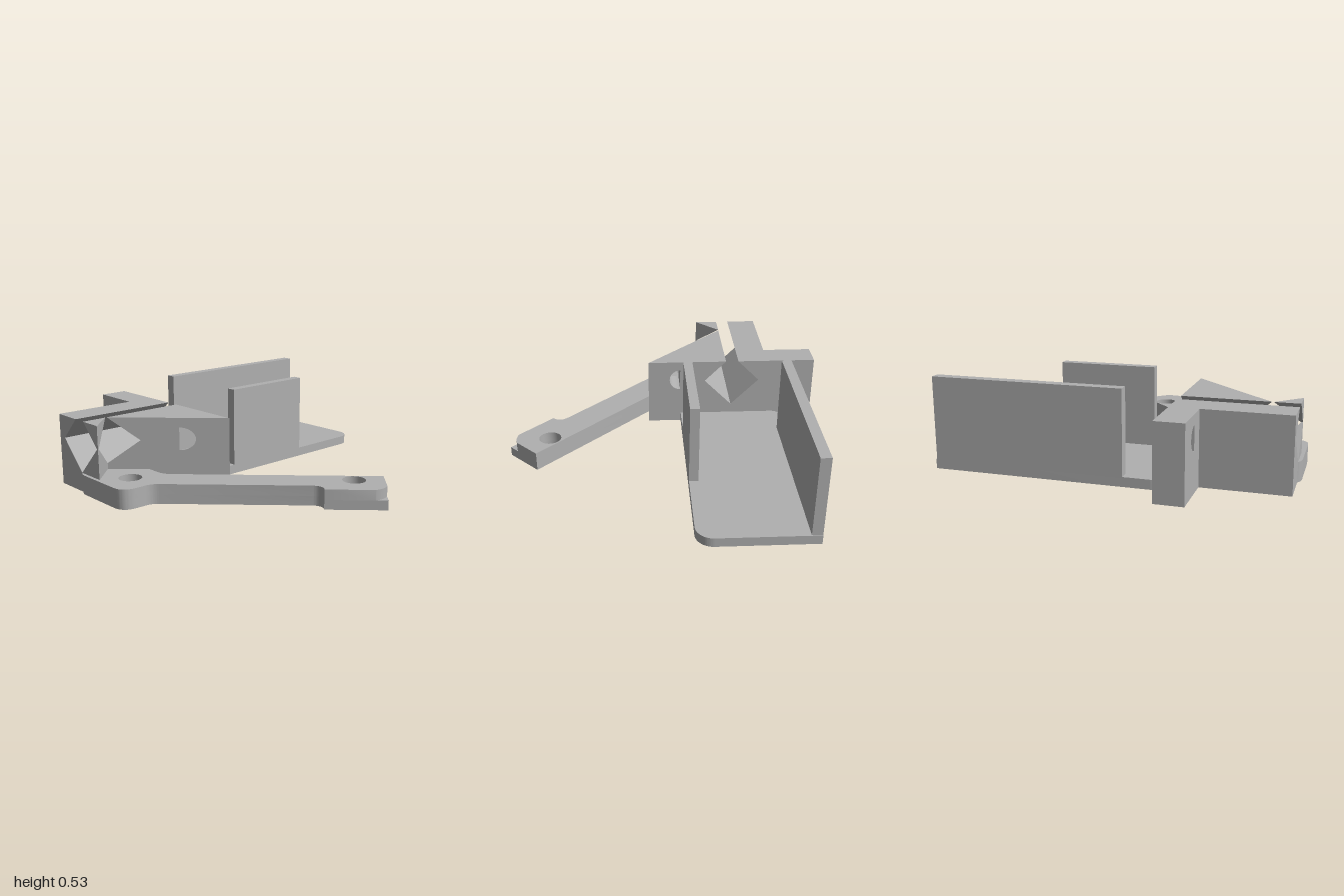
import * as THREE from 'three';
import { toCreasedNormals } from 'three/addons/utils/BufferGeometryUtils.js';

const gray = new THREE.MeshStandardMaterial({ color: 0xb0b0b0 });
gray.name = 'gray';

const circle = (a, b, r) => new THREE.Path().absarc(a, b, r, 0, Math.PI * 2, true);
const polygon = (pts) => new THREE.Shape(pts.map(([a, b]) => new THREE.Vector2(a, b)));
const extrude = (shape, depth) =>
  new THREE.ExtrudeGeometry(shape, { depth, bevelEnabled: false, curveSegments: 20 });

// Plan outline drawn as (x, -z), raised from y0 to y1
const plate = (shape, y0, y1) => extrude(shape, y1 - y0).rotateX(-Math.PI / 2).translate(0, y0, 0);

// Side profile given as (z, y) points, swept along x from x0 to x1
function sweepX(pts, x0, x1, holes = []) {
  const shape = polygon(pts.map(([z, y]) => [-z, y]));
  shape.holes.push(...holes);
  return extrude(shape, x1 - x0).rotateY(Math.PI / 2).translate(x0, 0, 0);
}

// Replaces one end face of a sweep with a slanted one
function slantEnd(geo, xEnd, rule) {
  const p = geo.attributes.position;
  for (let i = 0; i < p.count; i++) {
    if (Math.abs(p.getX(i) - xEnd) < 1e-4) p.setX(i, rule(p.getZ(i)));
  }
  return geo;
}

// D-shaped bore; dir = 1 bulges to the front, -1 to the back
function dHole(z, dir) {
  const h = new THREE.Path();
  if (dir > 0) h.absarc(-z, 0.3, 0.068, Math.PI / 2, Math.PI * 1.5, false);
  else h.absarc(-z, 0.3, 0.068, -Math.PI / 2, Math.PI / 2, false);
  h.closePath();
  return h;
}

// Arm outline: pivot pad, slanted bar and a pointed or rounded end
function armShape(rounded) {
  const s = new THREE.Shape();
  const L = (x, z) => s.lineTo(x, -z);
  const Q = (cx, cz, x, z) => s.quadraticCurveTo(cx, -cz, x, -z);
  s.moveTo(-1, 0.37);
  L(-1, -0.09);
  Q(-1, 0, -0.91, 0);
  L(-0.85, 0);
  Q(-0.81, 0, -0.78, 0.03);
  L(-0.18, 0.63);
  Q(-0.145, 0.675, -0.185, 0.715);
  if (rounded) {
    L(0.01, 0.91);
    Q(0.06, 0.93, 0.11, 0.91);
  } else L(0.06, 0.96);
  L(0.235, 0.785);
  L(-0.62, -0.07);
  Q(-0.655, -0.105, -0.655, -0.16);
  L(-0.655, -0.44);
  L(-0.975, -0.44);
  Q(-1, -0.42, -1, -0.37);
  s.holes.push(circle(-0.83, 0.175, 0.067), circle(0.06, -0.715, 0.067));
  return s;
}

// Tray floor with two rounded corners
function floorShape() {
  const s = new THREE.Shape();
  s.moveTo(-0.325, 0.11);
  s.lineTo(0.9, 0.11);
  s.absarc(0.9, 0.21, 0.1, -Math.PI / 2, 0, false);
  s.lineTo(1, 0.775);
  s.lineTo(-0.255, 0.775);
  s.absarc(-0.255, 0.705, 0.07, Math.PI / 2, Math.PI, false);
  s.closePath();
  return s;
}

export function createModel() {
  const model = new THREE.Group();
  const add = (name, geo) => {
    const mesh = new THREE.Mesh(toCreasedNormals(geo, 0.5), gray);
    mesh.name = name;
    model.add(mesh);
  };
  const box = (name, x0, x1, y0, y1, z0, z1) =>
    add(name, new THREE.BoxGeometry(x1 - x0, y1 - y0, z1 - z0)
      .translate((x0 + x1) / 2, (y0 + y1) / 2, (z0 + z1) / 2));

  // Tray and its two upright walls
  add('trayFloor', plate(floorShape(), 0, 0.055));
  box('trayBackWall', -0.105, 0.995, 0.05, 0.53, -0.775, -0.715);
  box('trayFrontWall', -0.105, 0.475, 0.05, 0.53, -0.165, -0.11);

  // Clamp block: rear half of the diamond channel with its floor
  const x0 = -0.98, x1 = -0.325, top = 0.425;
  add('blockRear', sweepX([[-0.665, 0], [-0.405, 0], [-0.405, 0.15], [-0.44, 0.115],
    [-0.615, 0.29], [-0.48, top], [-0.665, top]], x0, x1));

  // Front halves of the channel, cut by the V-shaped notch
  const channelFront = (zFront) => [[-0.405, 0], [zFront, 0], [zFront, top],
    [-0.4, top], [-0.265, 0.29], [-0.405, 0.15]];
  add('blockFrontWedge', slantEnd(
    sweepX(channelFront(0.1), -0.9, x1, [dHole(-0.105, 1)]), -0.9, (z) => z - 0.425));
  add('blockSideWedge', slantEnd(
    sweepX(channelFront(-0.256), x0, -0.8), -0.8, (z) => -1.235 - z));

  // Rear tab with its bore
  add('blockTab', sweepX([[-0.97, 0], [-0.665, 0], [-0.665, top], [-0.97, top]],
    -0.49, x1, [dHole(-0.775, -1)]));

  // Swing arm: pointed lower layer, rounded upper layer
  add('armLower', plate(armShape(false), 0, 0.055));
  add('armUpper', plate(armShape(true), 0.055, 0.115));

  return model;
}
